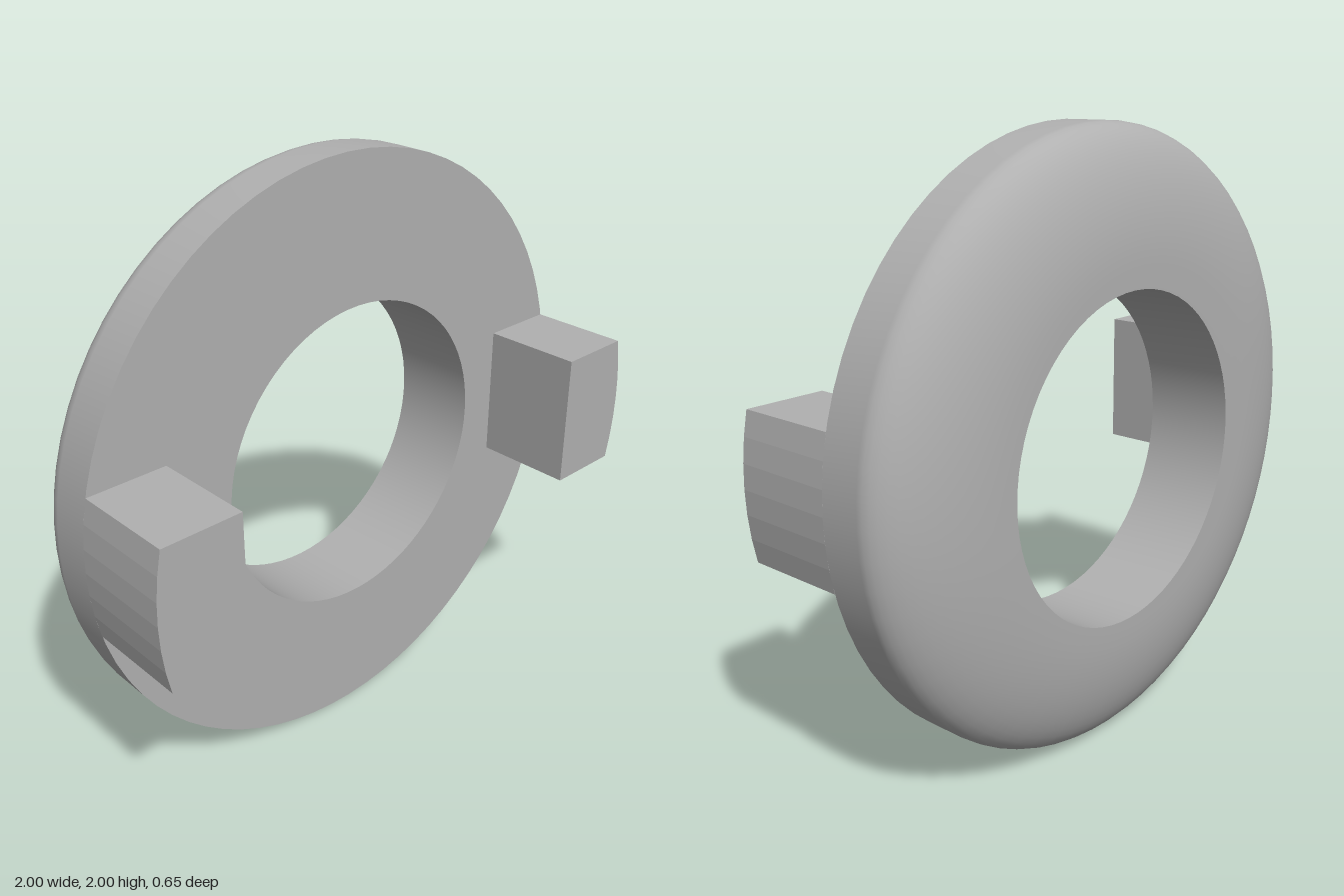
import * as THREE from 'three';

const SEG = 72;
const FRONT = -0.02, SHOULDER = -0.155, BACK = -0.325;
const CY = 1;

// a circle: radius, depth, centre
const ring = (r, z, x = 0, y = CY) => ({ r, z, x, y });

// skin a series of circles, smooth along the strip
function loft(rings) {
  const pos = [], idx = [];
  for (const c of rings) {
    for (let j = 0; j < SEG; j++) {
      const a = (j / SEG) * Math.PI * 2;
      pos.push(c.x + c.r * Math.cos(a), c.y + c.r * Math.sin(a), c.z);
    }
  }
  for (let i = 0; i < rings.length - 1; i++) {
    for (let j = 0; j < SEG; j++) {
      const k = (j + 1) % SEG;
      const a = i * SEG + j, b = i * SEG + k;
      const c = b + SEG, d = a + SEG;
      idx.push(a, d, c, a, c, b);
    }
  }
  const g = new THREE.BufferGeometry();
  g.setAttribute('position', new THREE.Float32BufferAttribute(pos, 3));
  g.setIndex(idx);
  g.computeVertexNormals();
  return g;
}

export function createModel() {
  const model = new THREE.Group();
  model.name = 'ringWithTabs';
  const grey = new THREE.MeshStandardMaterial({ color: 0xb0b0b0 });
  grey.name = 'grey';

  const add = (name, geometry) => {
    const mesh = new THREE.Mesh(geometry, grey);
    mesh.name = name;
    model.add(mesh);
    return mesh;
  };

  // the hole sits slightly off centre
  const hole = (z) => ring(0.53, z, 0.042, 0.987);

  // flat front and bore
  add('frontFace', loft([hole(FRONT), ring(1, FRONT)]));
  add('bore', loft([hole(BACK), hole(FRONT)]));

  // straight rim running into an elliptical rounded back
  const shell = [ring(1, FRONT), ring(1, SHOULDER)];
  const steps = 14, width = 0.42;
  for (let i = 1; i <= steps; i++) {
    const t = (i / steps) * Math.PI / 2;
    shell.push(ring(1 - width + width * Math.cos(t), SHOULDER + (BACK - SHOULDER) * Math.sin(t)));
  }
  shell.push(hole(BACK));
  add('rimAndRoundedBack', loft(shell));

  // two tabs whose outer side follows the rim
  for (const side of [1, -1]) {
    const low = -0.225, high = 0.235, inner = 0.707;
    const shape = new THREE.Shape();
    shape.moveTo(side * inner, low);
    for (let i = 0; i <= 6; i++) {
      const y = low + (high - low) * i / 6;
      shape.lineTo(side * Math.sqrt(1 - y * y), y);
    }
    shape.lineTo(side * inner, high);
    shape.closePath();
    const tab = add(side > 0 ? 'leftTab' : 'rightTab',
      new THREE.ExtrudeGeometry(shape, { depth: 0.325 - FRONT, bevelEnabled: false }));
    tab.position.set(0, CY, FRONT);
  }
  return model;
}
